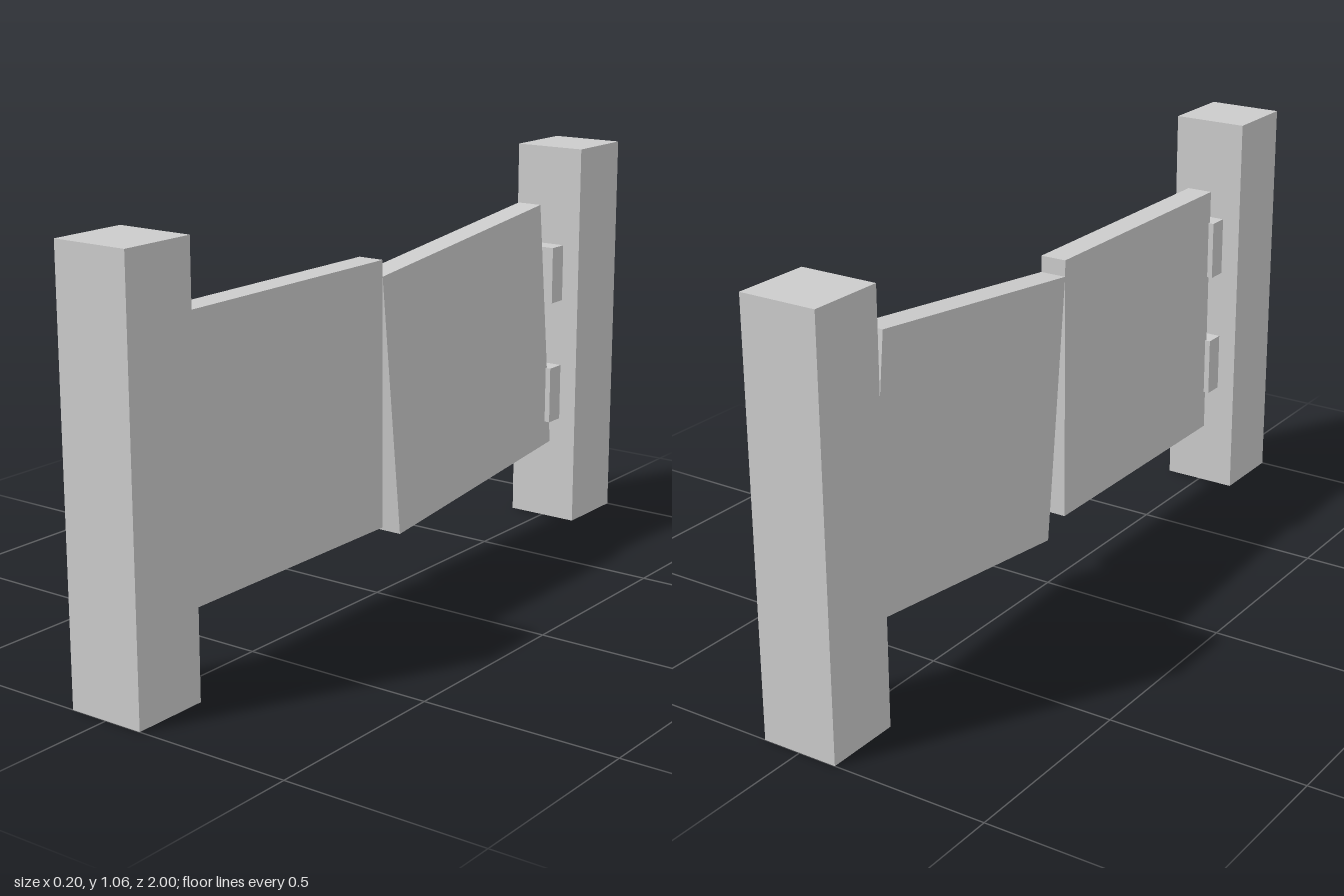
import * as THREE from 'three';

const material = new THREE.MeshStandardMaterial({ color: 0xcccccc, flatShading: true });

function addBox(parent, name, size, position) {
  const mesh = new THREE.Mesh(new THREE.BoxGeometry(...size), material);
  mesh.name = name;
  mesh.position.set(...position);
  parent.add(mesh);
  return mesh;
}

export function createModel() {
  const gate = new THREE.Group();
  gate.name = 'gate';

  // Post with two hinge blocks at each end
  for (const [end, side] of [['front', 1], ['back', -1]]) {
    addBox(gate, `${end}Post`, [0.2, 1.06, 0.2], [0, 0.53, side * 0.9]);
    addBox(gate, `${end}LowerHinge`, [0.1, 0.155, 0.055], [0, 0.372, side * 0.7735]);
    addBox(gate, `${end}UpperHinge`, [0.1, 0.155, 0.055], [0, 0.713, side * 0.7735]);
  }

  // Two equal door panels; the back one hangs crooked
  const panelSize = [0.07, 0.688, 0.729];
  addBox(gate, 'frontPanel', panelSize, [0, 0.533, 0.389]);
  const backPanel = addBox(gate, 'backPanel', panelSize, [0, 0.533, -0.376]);
  backPanel.rotation.x = 0.11;

  return gate;
}
